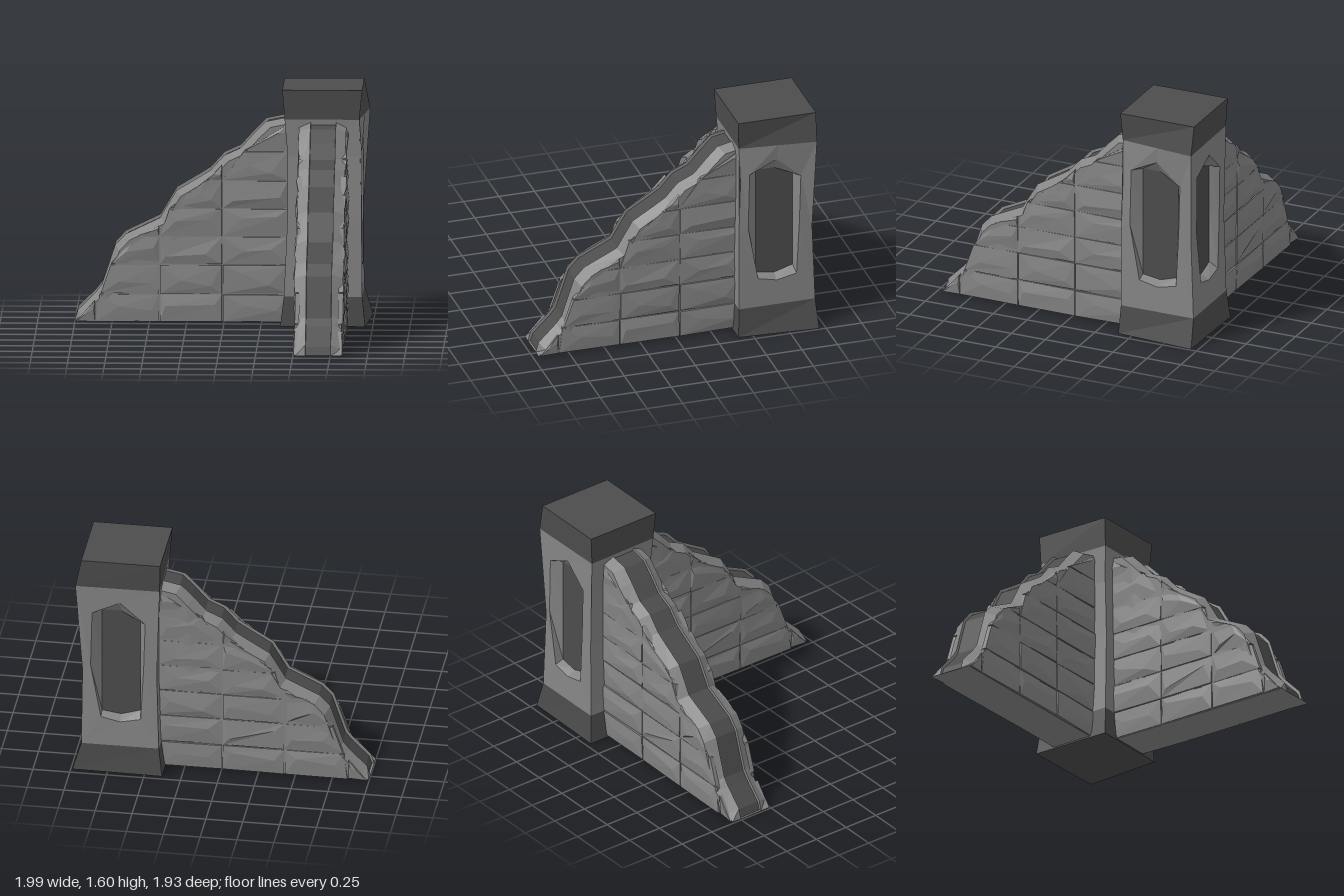
import * as THREE from 'three';

const stone = new THREE.MeshStandardMaterial({ color: 0x858585, flatShading: true, side: THREE.DoubleSide });
const darkStone = new THREE.MeshStandardMaterial({ color: 0x4c4c4c, flatShading: true, side: THREE.DoubleSide });

// Collects flat polygons (fanned, counter-clockwise from outside) into one mesh
class Builder {
  constructor() { this.p = []; }
  face(...pts) {
    for (let i = 1; i < pts.length - 1; i++) this.p.push(...pts[0], ...pts[i], ...pts[i + 1]);
  }
  // Bands of quads between successive closed or open rows of points
  loft(rows, closed = true) {
    for (let r = 0; r < rows.length - 1; r++) {
      const a = rows[r], b = rows[r + 1], n = a.length;
      for (let i = 0; i < (closed ? n : n - 1); i++) {
        const j = (i + 1) % n;
        this.face(a[i], a[j], b[j], b[i]);
      }
    }
  }
  mesh(name, material) {
    const g = new THREE.BufferGeometry();
    g.setAttribute('position', new THREE.Float32BufferAttribute(this.p, 3));
    g.computeVertexNormals();
    const m = new THREE.Mesh(g, material);
    m.name = name;
    return m;
  }
}

function seeded(seed) {
  return () => {
    seed = (seed * 16807) % 2147483647;
    return seed / 2147483647;
  };
}

// Sloping crest of a wing: [distance, height]
const crest = [
  [-1, 0.01], [-0.98, 0.08], [-0.86, 0.2], [-0.82, 0.25], [-0.77, 0.4], [-0.73, 0.52],
  [-0.66, 0.595], [-0.43, 0.705], [-0.38, 0.79], [-0.32, 0.89], [-0.17, 0.98], [-0.09, 1.03],
  [0, 1.13], [0.11, 1.18], [0.2, 1.28], [0.28, 1.36], [0.45, 1.395],
];

function interpolate(v, from, to) {
  for (let i = 1; i < crest.length; i++) {
    const a = crest[i - 1], b = crest[i];
    if (v <= b[from]) return a[to] + (b[to] - a[to]) * Math.max(0, (v - a[from]) / (b[from] - a[from]));
  }
  return crest[crest.length - 1][to];
}
const crestHeight = (x) => interpolate(x, 0, 1);
const crestStart = (y) => interpolate(y, 1, 0);

function createWing() {
  const wing = new THREE.Group();
  const body = new Builder(), band = new Builder(), bricks = new Builder();
  const rand = seeded(77);

  // Core wall with bevelled rails either side of a sunken band
  const sections = crest.map(([x, y], i) => {
    const inset = i === 0 ? 0 : 0.03;
    const sx = x + inset, sy = Math.max(0.01, y - inset);
    const w = 0.153 + 0.014 * rand(), v = 0.153 + 0.014 * rand();
    return {
      right: [[sx, 0.01, 0.148], [sx, sy, w], [x, y, 0.085], [x + 0.015, Math.max(0.01, y - 0.015), 0.083]],
      left: [[x + 0.015, Math.max(0.01, y - 0.015), -0.083], [x, y, -0.085], [sx, sy, -v], [sx, 0.01, -0.148]],
    };
  });
  body.loft(sections.map((s) => s.right).reverse(), false);
  body.loft(sections.map((s) => s.left).reverse(), false);
  band.loft(sections.map((s) => [s.right[3], s.left[0]]).reverse(), false);
  body.face([-1, 0.01, -0.148], [0.45, 0.01, -0.148], [0.45, 0.01, 0.148], [-1, 0.01, 0.148]);

  // Rough blocks: each has sunken edges and a proud, uneven ridge
  const courses = [0.01, 0.2, 0.4, 0.59, 0.78, 0.97, 1.17, 1.36];
  const seams = [-1, -0.86, -0.43, -0.01, 0.43];
  const gap = 0.004, drop = 0.04;
  for (const side of [1, -1]) {
    for (let c = 0; c < courses.length - 1; c++) {
      for (let s = 0; s < seams.length - 1; s++) {
        const corner = (x, y) => {
          const px = Math.min(seams[s + 1] - gap, Math.max(seams[s] + gap, crestStart(y + drop)));
          return [px, Math.max(courses[c], Math.min(y, crestHeight(px) - drop))];
        };
        const y0 = courses[c] + gap, y1 = courses[c + 1] - gap;
        const endX = seams[s + 1] - gap;
        const a = corner(0, y0), d = corner(0, y1);
        const b = [endX, y0], e = [endX, Math.min(y1, crestHeight(endX) - drop)];
        if (b[0] - a[0] < 0.04 || e[1] - y0 < 0.03) continue;
        const lerp = (u, v) => [0, 1].map((k) =>
          (a[k] * (1 - u) + b[k] * u) * (1 - v) + (d[k] * (1 - u) + e[k] * u) * v);
        const at = (q, z) => [q[0], q[1], side * z];
        const rim = [a, b, e, d].map((q) => at(q, 0.152 + 0.014 * rand()));
        const r0 = at(lerp(0.08 + 0.26 * rand(), 0.25 + 0.5 * rand()), 0.166 + 0.01 * rand());
        const r1 = at(lerp(0.7 + 0.22 * rand(), 0.25 + 0.5 * rand()), 0.166 + 0.01 * rand());
        const faces = [[rim[0], rim[1], r1, r0], [rim[1], rim[2], r1], [rim[2], rim[3], r0, r1], [rim[3], rim[0], r0]];
        // Block edges running back into the wall
        rim.forEach((p, i) => {
          const q = rim[(i + 1) % 4];
          faces.push([[p[0], p[1], side * 0.13], [q[0], q[1], side * 0.13], q, p]);
        });
        faces.forEach((f) => bricks.face(...(side > 0 ? f : f.reverse())));
      }
    }
  }
  wing.add(body.mesh('wallCore', stone), band.mesh('copingBand', darkStone), bricks.mesh('wallBlocks', stone));
  return wing;
}

// Pillar corners per height, in order: front-left, front-right, back-right, back-left (seen from above)
const ring = (y, corners) => corners.map(([x, z]) => [x, y, z]);
const bottomRing = ring(0, [[0.38, -0.395], [0.95, -0.4], [0.99, -0.955], [0.38, -0.965]]);
const shaftRings = [
  ring(0.2, [[0.405, -0.41], [0.93, -0.41], [0.93, -0.945], [0.405, -0.945]]),
  ring(0.75, [[0.43, -0.42], [0.925, -0.41], [0.925, -0.925], [0.42, -0.935]]),
  ring(1.15, [[0.43, -0.43], [0.93, -0.42], [0.93, -0.94], [0.42, -0.935]]),
  ring(1.4, [[0.41, -0.415], [0.91, -0.415], [0.97, -0.945], [0.4, -0.94]]),
];
const topRing = ring(1.6, [[0.395, -0.405], [0.93, -0.405], [0.93, -0.95], [0.395, -0.95]]);

// Outline of the niche opening and of its sunken back
const opening = [[-0.13, 0.41], [0, 0.38], [0.14, 0.41], [0.16, 0.8], [0.17, 1.14], [0, 1.29], [-0.19, 1.2], [-0.2, 0.8]];
const niche = [[-0.13, 0.43], [0, 0.41], [0.13, 0.45], [0.13, 0.8], [0.13, 1.18], [0, 1.2], [-0.13, 1.2], [-0.13, 0.8]];

function createPillar() {
  const pillar = new THREE.Group();
  const base = new Builder(), shaft = new Builder(), cap = new Builder(), back = new Builder();
  base.loft([bottomRing, shaftRings[0]]);
  base.face(...[...bottomRing].reverse());
  cap.loft([shaftRings[3], topRing]);
  cap.face(...topRing);

  // Plain sides, behind the two wings
  shaft.loft(shaftRings.map((r) => [r[3], r[0], r[1]]), false);

  // Outer sides with a niche
  const mid = (p, q) => p.map((v, k) => (v + q[k]) / 2);
  const nicheSide = (l, r, place) => {
    const [s0, s1, s2, s3] = shaftRings;
    const frame = [s0[l], mid(s0[l], s0[r]), s0[r], s1[r], s3[r], mid(s3[l], s3[r]), s3[l], s1[l]];
    const rim = opening.map(([u, y]) => place(u, y, 0));
    const floor = niche.map(([u, y]) => place(u, y, 0.06));
    shaft.loft([frame, rim, floor]);
    back.face(...floor);
  };
  nicheSide(1, 2, (u, y, d) => [0.928 - d, y, -0.675 - u]);
  nicheSide(2, 3, (u, y, d) => [0.668 - u, y, -0.94 + d]);

  pillar.add(base.mesh('pillarBase', darkStone), shaft.mesh('pillarShaft', stone),
    cap.mesh('pillarCap', darkStone), back.mesh('nicheBacks', darkStone));
  return pillar;
}

export function createModel() {
  const model = new THREE.Group();
  model.name = 'cornerWall';
  const pillar = createPillar();
  pillar.name = 'pillar';
  const sideWing = createWing();
  sideWing.name = 'sideWing';
  sideWing.position.z = -0.67;
  const frontWing = createWing();
  frontWing.name = 'frontWing';
  frontWing.rotation.y = Math.PI / 2;
  frontWing.position.set(0.67, 0, -0.035);
  model.add(pillar, sideWing, frontWing);
  return model;
}
